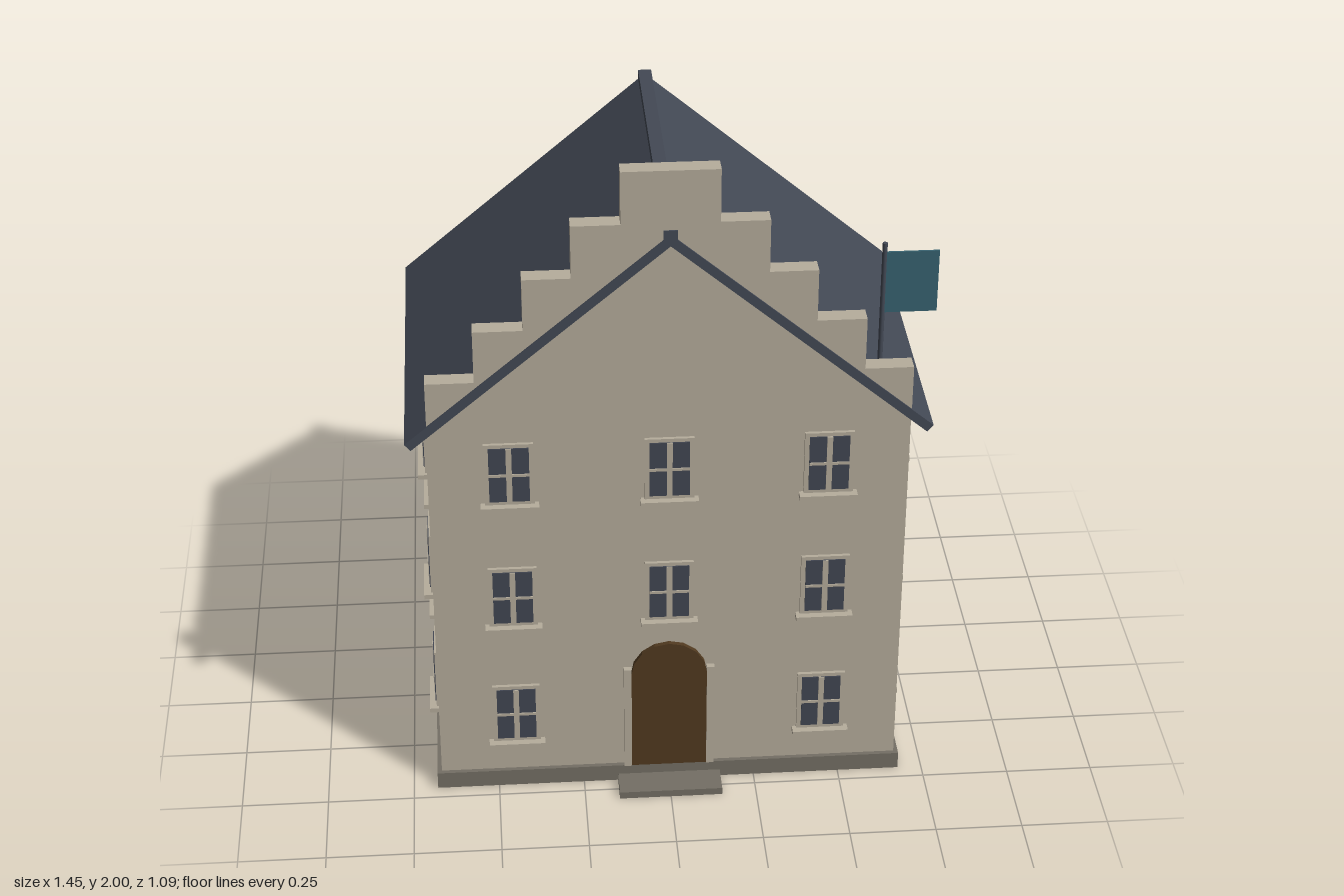
import * as THREE from 'three';

const mat = (name, color) => {
  const m = new THREE.MeshStandardMaterial({ color });
  m.name = name;
  return m;
};

export function createModel() {
  const house = new THREE.Group();
  house.name = 'house';

  const stone = mat('pale stone', 0xb6ad9c);
  const base = mat('base stone', 0x746f65);
  const slate = mat('roof slate', 0x434955);
  const glass = mat('window glass', 0x424753);
  const wood = mat('door wood', 0x513a20);
  const cloth = mat('flag teal', 0x376270);

  // Main dimensions
  const W = 0.667, zFront = 0.444, zBack = -0.513, zMid = (zFront + zBack) / 2;
  const eaveY = 1.228, plinthTop = 0.053;

  const add = (parent, name, geometry, material, x = 0, y = 0, z = 0) => {
    const mesh = new THREE.Mesh(geometry, material);
    mesh.name = name;
    mesh.position.set(x, y, z);
    parent.add(mesh);
    return mesh;
  };
  // Box given by its low and high corners
  const box = (parent, name, material, [x0, x1], [y0, y1], [z0, z1]) =>
    add(parent, name, new THREE.BoxGeometry(x1 - x0, y1 - y0, z1 - z0), material,
      (x0 + x1) / 2, (y0 + y1) / 2, (z0 + z1) / 2);
  // Outline in x, y pushed from z0 to z1
  const slab = (name, material, points, z0, z1) => {
    const shape = new THREE.Shape(points.map(([x, y]) => new THREE.Vector2(x, y)));
    const geometry = new THREE.ExtrudeGeometry(shape, { depth: z1 - z0, bevelEnabled: false });
    return add(house, name, geometry, material, 0, 0, z0);
  };

  // Plinth and doorstep
  box(house, 'plinth', base, [-0.68, 0.68], [0, plinthTop], [-0.525, 0.457]);
  box(house, 'doorstep', base, [-0.15, 0.15], [0, 0.022], [0.44, 0.545]);

  // Walls with plain gables
  slab('walls', stone,
    [[-W, plinthTop], [W, plinthTop], [W, eaveY], [0, 1.794], [-W, eaveY]], zBack, zFront);

  // Stepped front gable
  const steps = [[0.663, 1.385], [0.53, 1.54], [0.395, 1.693], [0.264, 1.847], [0.132, 2]];
  const right = [[0.663, eaveY]];
  steps.forEach(([x, y], i) => {
    right.push([x, y]);
    if (i < steps.length - 1) right.push([steps[i + 1][0], y]);
  });
  const left = right.map(([x, y]) => [-x, y]).reverse();
  slab('steppedGable', stone, [...right, ...left], 0.421, 0.472);

  // Roof slopes and ridge cap
  for (const s of [1, -1]) {
    const outline = [[0, 1.815], [0, 1.781], [s * 0.708, 1.18], [s * 0.725, 1.2]];
    slab(s > 0 ? 'leftRoof' : 'rightRoof', slate, outline, -0.545, 0.476);
  }
  box(house, 'ridgeCap', slate, [-0.019, 0.019], [1.79, 1.827], [-0.545, 0.476]);

  // Window, facing +z with its back on z = 0 and its centre at the crossbar
  const makeWindow = () => {
    const w = new THREE.Group();
    w.name = 'window';
    box(w, 'windowFrame', stone, [-0.069, 0.069], [-0.097, 0.097], [-0.01, 0.01]);
    box(w, 'windowGlass', glass, [-0.056, 0.056], [-0.086, 0.086], [0.005, 0.013]);
    box(w, 'mullion', stone, [-0.008, 0.008], [-0.086, 0.086], [0.005, 0.016]);
    box(w, 'crossbar', stone, [-0.056, 0.056], [-0.004, 0.004], [0.005, 0.016]);
    box(w, 'windowSill', stone, [-0.081, 0.081], [-0.111, -0.097], [-0.01, 0.03]);
    return w;
  };
  const placeWindow = (x, y, z, turn) => {
    const w = makeWindow();
    w.position.set(x, y, z);
    w.rotation.y = turn;
    house.add(w);
  };
  [0.258, 0.667, 1.077].forEach((y, floor) => {
    for (const x of [-0.443, 0, 0.443]) {
      if (floor > 0 || x !== 0) placeWindow(x, y, zFront, 0);
      placeWindow(x, y, zBack, Math.PI);
    }
    for (const dz of [-0.239, 0.239]) {
      placeWindow(W, y, zMid + dz, Math.PI / 2);
      placeWindow(-W, y, zMid + dz, -Math.PI / 2);
    }
  });

  // Arched door and its jambs
  const arch = [[-0.11, plinthTop], [0.11, plinthTop]];
  for (let i = 0; i <= 8; i++) {
    const a = (i / 8) * Math.PI;
    arch.push([0.11 * Math.cos(a), 0.376 + 0.11 * Math.sin(a)]);
  }
  slab('door', wood, arch, 0.435, 0.458);
  for (const s of [-1, 1]) {
    const jamb = new THREE.BoxGeometry(0.022, 0.4 - plinthTop, 0.03);
    add(house, 'doorJamb', jamb, stone, s * 0.12, (0.4 + plinthTop) / 2, 0.446);
  }

  // Flag on its pole behind the stepped gable
  add(house, 'flagpole', new THREE.CylinderGeometry(0.007, 0.007, 0.435, 8), slate, 0.578, 1.518, 0.41);
  box(house, 'flag', cloth, [0.583, 0.726], [1.525, 1.708], [0.407, 0.413]);

  return house;
}
